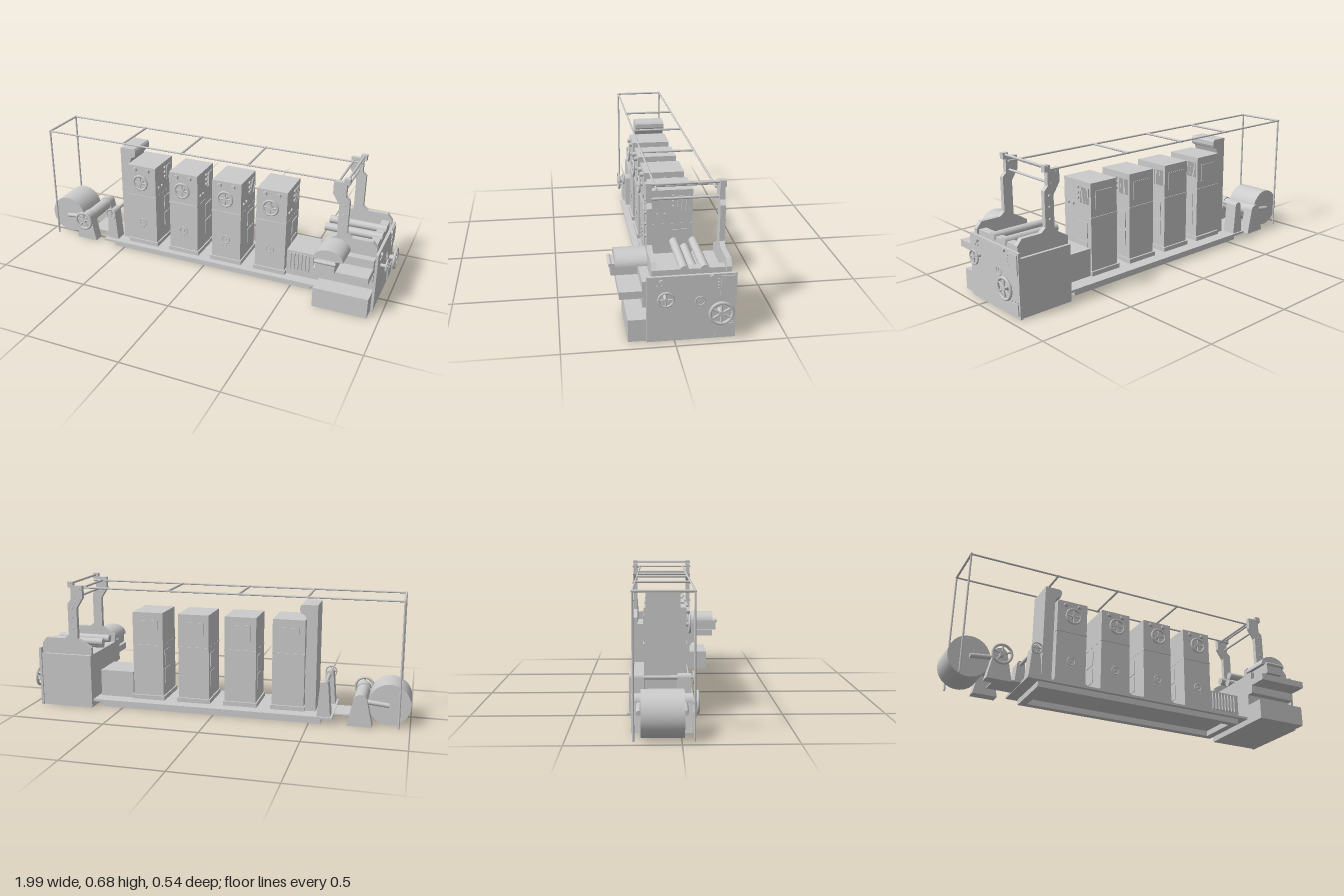
import * as THREE from 'three';

const mat = new THREE.MeshStandardMaterial({ color: 0xcccccc, side: THREE.DoubleSide });

function add(parent, name, geo, x = 0, y = 0, z = 0) {
  const m = new THREE.Mesh(geo, mat);
  m.name = name;
  m.position.set(x, y, z);
  parent.add(m);
  return m;
}

// Box given by its limits on each axis
function box(parent, name, x0, x1, y0, y1, z0, z1) {
  return add(parent, name, new THREE.BoxGeometry(x1 - x0, y1 - y0, z1 - z0),
    (x0 + x1) / 2, (y0 + y1) / 2, (z0 + z1) / 2);
}

// Round bar between two points
function rod(parent, name, a, b, r, seg = 12) {
  const p = new THREE.Vector3(...a), q = new THREE.Vector3(...b);
  const d = q.clone().sub(p);
  const m = add(parent, name, new THREE.CylinderGeometry(r, r, d.length(), seg));
  m.position.copy(p).add(q).multiplyScalar(0.5);
  m.quaternion.setFromUnitVectors(new THREE.Vector3(0, 1, 0), d.normalize());
  return m;
}

// Plate with an xy outline, extruded from z0 to z1
function plate(parent, name, points, z0, z1) {
  const s = new THREE.Shape(points.map(p => new THREE.Vector2(...p)));
  const g = new THREE.ExtrudeGeometry(s, { depth: z1 - z0, bevelEnabled: false });
  return add(parent, name, g, 0, 0, z0);
}

// Handwheel facing +z, with its shaft reaching back to the machine
function handwheel(parent, r, spokes, depth, tube = r * 0.13) {
  const w = new THREE.Group();
  w.name = 'handwheel';
  add(w, 'rim', new THREE.TorusGeometry(r - tube, tube, 8, 24), 0, 0, depth);
  rod(w, 'hub', [0, 0, 0], [0, 0, depth + tube], r * 0.24);
  for (let i = 0; i < spokes; i++) {
    const a = (i / spokes) * Math.PI * 2 + Math.PI / 2;
    rod(w, 'spoke', [0, 0, depth], [Math.cos(a) * (r - tube), Math.sin(a) * (r - tube), depth], r * 0.09, 8);
  }
  parent.add(w);
  return w;
}

function knob(parent, x, y, z, r, axis = 'z') {
  const d = axis === 'z' ? [0, 0, r] : [r, 0, 0];
  rod(parent, 'knob', [x - d[0], y, z - d[2]], [x + d[0], y, z + d[2]], r, 14);
}

function buildTower() {
  const t = new THREE.Group();
  t.name = 'printTower';
  box(t, 'towerFoot', -0.09, 0.09, 0.04, 0.065, -0.178, 0.045);
  box(t, 'lowerCabinet', -0.083, 0.083, 0.065, 0.335, -0.168, 0.037);
  box(t, 'dividingSlab', -0.084, 0.084, 0.335, 0.342, -0.172, 0.042);
  box(t, 'upperCabinet', -0.083, 0.083, 0.342, 0.515, -0.168, 0.037);
  box(t, 'backHatch', -0.055, 0.055, 0.38, 0.473, -0.172, -0.168);
  // front controls
  for (const s of [-1, 1]) knob(t, s * 0.038, 0.493, 0.042, 0.012);
  handwheel(t, 0.046, 4, 0.018).position.set(0, 0.425, 0.037);
  add(t, 'dialRing', new THREE.TorusGeometry(0.021, 0.003, 6, 20), 0, 0.178, 0.039);
  knob(t, 0, 0.178, 0.039, 0.006);
  for (const i of [-1, 0, 1]) knob(t, i * 0.018, 0.143, 0.038, 0.004);
  // side controls and vents
  for (const y of [0.483, 0.455, 0.428]) knob(t, 0.083, y, -0.072, 0.008, 'x');
  for (const z of [0.003, -0.033]) knob(t, 0.083, 0.39, z, 0.008, 'x');
  for (let i = 0; i < 10; i++) {
    const z = -0.154 + i * 0.0066;
    box(t, 'ventSlat', 0.083, 0.087, 0.405, 0.486, z, z + 0.004);
  }
  for (const y of [0.13, 0.23]) {
    box(t, 'sidePanel', 0.083, 0.087, y, y + 0.08, -0.14, -0.06);
    box(t, 'sidePanel', -0.086, -0.083, y, y + 0.08, -0.14, -0.06);
  }
  return t;
}

function buildBase(g) {
  // hollow plinth, deck and the walkway to the unwinder
  const s = new THREE.Shape([[-0.56, -0.06], [0.61, -0.06], [0.61, 0.225], [-0.56, 0.225]].map(p => new THREE.Vector2(...p)));
  s.holes.push(new THREE.Path([[-0.52, -0.025], [-0.52, 0.19], [0.57, 0.19], [0.57, -0.025]].map(p => new THREE.Vector2(...p))));
  const p = add(g, 'plinth', new THREE.ExtrudeGeometry(s, { depth: 0.03, bevelEnabled: false }));
  p.rotation.x = -Math.PI / 2;
  box(g, 'deck', -0.62, 0.67, 0.03, 0.042, -0.245, 0.08);
  box(g, 'walkway', -0.75, -0.6, 0.033, 0.039, -0.16, -0.01);
}

function buildUnwinder(g) {
  const u = new THREE.Group();
  u.name = 'unwinder';
  g.add(u);
  rod(u, 'paperRoll', [-0.895, 0.11, -0.175], [-0.895, 0.11, 0.012], 0.105, 40);
  // tapered stands with rounded heads
  const stand = (name, x, y0, y1, w, r, z0, z1) => {
    plate(u, name, [[x - w, y0], [x + w, y0], [x + r, y1], [x - r, y1]], z0, z1);
    rod(u, name + 'Head', [x, y1, z0], [x, y1, z1], r, 20);
  };
  stand('rollStand', -0.753, 0, 0.13, 0.063, 0.035, -0.22, -0.165);
  stand('rollStand', -0.753, 0, 0.13, 0.063, 0.035, 0.0, 0.055);
  rod(u, 'standDrum', [-0.753, 0.125, -0.19], [-0.753, 0.125, 0.03], 0.034, 24);
  for (const z of [-0.185, 0.02]) rod(u, 'rollArm', [-0.753, 0.125, z], [-0.895, 0.11, z], 0.012);
  handwheel(u, 0.055, 5, 0.022).position.set(-0.753, 0.125, 0.055);
  stand('guideStand', -0.575, 0.042, 0.2, 0.034, 0.021, -0.235, -0.165);
  stand('guideStand', -0.575, 0.042, 0.2, 0.034, 0.021, -0.01, 0.055);
  rod(u, 'guideRoller', [-0.575, 0.2, -0.2], [-0.575, 0.2, 0.03], 0.01);
  handwheel(u, 0.032, 4, 0.01).position.set(-0.575, 0.2, 0.055);
  // infeed column with overhanging rounded head
  plate(u, 'infeedColumn', [[-0.525, 0.042], [-0.47, 0.042], [-0.47, 0.515], [-0.46, 0.54],
    [-0.44, 0.548], [-0.435, 0.56], [-0.435, 0.582], [-0.443, 0.592], [-0.525, 0.592]], -0.158, 0.006);
}

function buildFolder(g) {
  const f = new THREE.Group();
  f.name = 'folder';
  g.add(f);
  box(f, 'folderBody', 0.66, 0.94, 0, 0.285, -0.265, 0.1);
  box(f, 'endPanel', 0.94, 0.953, 0, 0.315, -0.272, 0.123);
  box(f, 'lowerLocker', 0.66, 0.94, 0, 0.107, 0.1, 0.204);
  box(f, 'middleStep', 0.66, 0.94, 0.167, 0.21, 0.1, 0.14);
  box(f, 'deliveryShelf', 0.66, 0.937, 0.21, 0.245, 0.1, 0.24);
  box(f, 'shelfCover', 0.66, 0.937, 0.245, 0.29, 0.1, 0.14);
  box(f, 'crossPanel', 0.89, 0.93, 0.28, 0.335, -0.225, 0.077);
  // motor hood over a bracket and pivot
  const hood = [];
  for (let i = 0; i <= 20; i++) {
    const a = (i / 20) * Math.PI;
    hood.push([0.735 + Math.cos(a) * 0.075, 0.3 + Math.sin(a) * 0.055]);
  }
  plate(f, 'motorHood', hood, 0.08, 0.243);
  box(f, 'motorBracket', 0.68, 0.775, 0.245, 0.302, 0.1, 0.262);
  rod(f, 'bracketPivot', [0.675, 0.297, 0.263], [0.78, 0.297, 0.263], 0.009);
  // side frames carrying the web bars
  const frame = [[0.66, 0.28], [0.94, 0.28], [0.94, 0.34], [0.915, 0.37], [0.81, 0.37], [0.785, 0.39],
    [0.785, 0.56], [0.765, 0.58], [0.765, 0.655], [0.7, 0.655], [0.7, 0.59], [0.735, 0.535],
    [0.735, 0.37], [0.66, 0.325]];
  for (const z of [0.077, -0.25]) {
    plate(f, 'sideFrame', frame, z, z + 0.024);
    box(f, 'barClamp', 0.75, 0.78, 0.645, 0.675, z - 0.001, z + 0.025);
  }
  for (const [x, y] of [[0.765, 0.666], [0.715, 0.64], [0.745, 0.59]])
    rod(f, 'webBar', [x, y, -0.254], [x, y, 0.105], 0.006);
  for (const y of [0.535, 0.483, 0.425])
    for (const z of [-0.252, 0.102]) knob(f, 0.76, y, z, 0.006);
  for (const z of [-0.043, -0.133])
    rod(f, 'deliveryRoller', [0.64, 0.332, z], [0.935, 0.332, z], 0.02, 24);
  rod(f, 'deliveryRoller', [0.66, 0.31, -0.09], [0.92, 0.31, -0.09], 0.02, 24);
  // end panel controls
  const wheel = (r, n, y, z) => {
    const w = handwheel(f, r, n, 0.032);
    w.position.set(0.953, y, z);
    w.rotation.y = Math.PI / 2;
  };
  wheel(0.038, 4, 0.222, 0.044);
  wheel(0.058, 6, 0.14, -0.2);
  const gauge = add(f, 'gauge', new THREE.TorusGeometry(0.021, 0.003, 6, 24), 0.954, 0.19, -0.112);
  gauge.rotation.y = Math.PI / 2;
  box(f, 'gaugeNeedle', 0.953, 0.956, 0.19, 0.205, -0.113, -0.111);
  box(f, 'controlPanel', 0.953, 0.958, 0.21, 0.306, -0.265, -0.2);
  box(f, 'switchPanel', 0.953, 0.958, 0.015, 0.071, -0.262, -0.178);
  knob(f, 0.953, 0.292, 0.06, 0.01, 'x');
  knob(f, 0.953, 0.305, -0.162, 0.01, 'x');
  for (const z of [0.056, 0.077]) knob(f, 0.953, 0.271, z, 0.005, 'x');
  for (let i = 0; i < 4; i++) {
    knob(f, 0.953, 0.29 - i * 0.0145, -0.192, 0.005, 'x');
    knob(f, 0.953, 0.077, -0.192 - i * 0.0205, 0.005, 'x');
  }
}

function buildOverheadFrame(g) {
  const o = new THREE.Group();
  o.name = 'overheadFrame';
  g.add(o);
  for (const z of [0.055, -0.207]) {
    rod(o, 'rail', [-0.945, 0.64, z], [0.765, 0.64, z], 0.005, 8);
    rod(o, 'endPost', [-0.945, 0, z], [-0.945, 0.64, z], 0.005, 8);
  }
  for (const x of [-0.945, -0.478, -0.13, 0.243])
    rod(o, 'crossbar', [x, 0.64, -0.212], [x, 0.64, 0.06], 0.006, 8);
}

export function createModel() {
  const g = new THREE.Group();
  g.name = 'printingPress';
  buildBase(g);
  buildUnwinder(g);
  for (let i = 0; i < 4; i++) {
    const t = buildTower();
    t.position.x = -0.382 + i * 0.251;
    g.add(t);
  }
  // ribbed drive box between the last tower and the folder
  box(g, 'driveBox', 0.46, 0.645, 0.042, 0.185, -0.165, 0.02);
  for (let i = 0; i < 8; i++) box(g, 'driveRib', 0.475 + i * 0.02, 0.486 + i * 0.02, 0.08, 0.175, 0.02, 0.03);
  buildFolder(g);
  buildOverheadFrame(g);
  return g;
}
